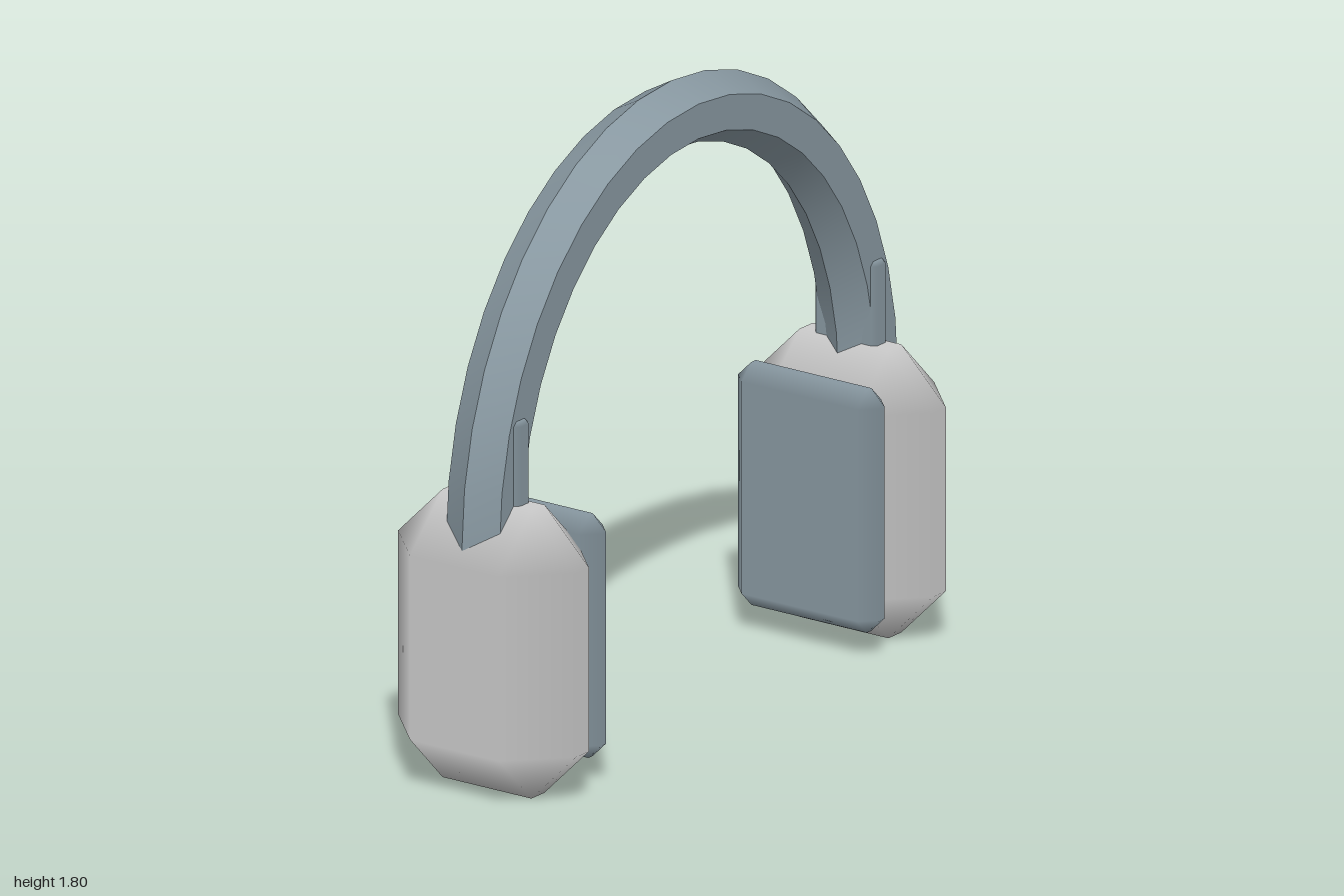
import * as THREE from 'three';
import { toCreasedNormals } from 'three/addons/utils/BufferGeometryUtils.js';
import { ConvexGeometry } from 'three/addons/geometries/ConvexGeometry.js';

const grey = new THREE.MeshStandardMaterial({ color: 0xcccccc });
const slate = new THREE.MeshStandardMaterial({ color: 0x8898a1 });

// Box with one-step bevels; flat faces keep their own normals so the bevels shade softly
function bevelBox(w, h, d, bevel) {
  const half = [w / 2, h / 2, d / 2];
  const points = [];
  for (let axis = 0; axis < 3; axis++)
    for (const sx of [-1, 1]) for (const sy of [-1, 1]) for (const sz of [-1, 1]) {
      const p = [sx, sy, sz].map((s, i) => s * (half[i] - (i === axis ? 0 : bevel)));
      points.push(new THREE.Vector3(...p));
    }
  const geo = new ConvexGeometry(points);
  const pos = geo.attributes.position, normal = geo.attributes.normal;
  for (let i = 0; i < pos.count; i++) {
    const p = [pos.getX(i), pos.getY(i), pos.getZ(i)];
    normal.setXYZ(i, ...p.map((v, k) => (Math.abs(v) > half[k] - 1e-5 ? Math.sign(v) : 0)));
  }
  return geo;
}

// Hexagonal section swept along a half ellipse, with short straight ends inside the cups
function bandGeometry() {
  const a = 0.865, b = 0.98, base = 0.72, steps = 20;
  const section = [[0.1, 0], [0.05, 0.09], [-0.05, 0.09], [-0.1, 0], [-0.05, -0.09], [0.05, -0.09]];
  const rings = [];
  const addRing = (x, y, nx, ny) => rings.push(section.map(([r, z]) => [x + nx * r, y + ny * r, z]));
  addRing(a, 0.66, 1, 0);
  for (let i = 0; i <= steps; i++) {
    const t = (i / steps) * Math.PI, c = Math.cos(t), s = Math.sin(t);
    const n = new THREE.Vector2(c / a, s / b).normalize();
    addRing(a * c, base + b * s, n.x, n.y);
  }
  addRing(-a, 0.66, -1, 0);

  const n = section.length, index = [];
  for (let i = 0; i < rings.length - 1; i++)
    for (let j = 0; j < n; j++) {
      const p = i * n + j, q = i * n + ((j + 1) % n);
      index.push(p, p + n, q, q, p + n, q + n);
    }
  // End caps
  const last = (rings.length - 1) * n;
  for (let j = 1; j < n - 1; j++) index.push(0, j, j + 1, last, last + j + 1, last + j);

  const geo = new THREE.BufferGeometry();
  geo.setAttribute('position', new THREE.Float32BufferAttribute(rings.flat(2), 3));
  geo.setIndex(index);
  return toCreasedNormals(geo, 0.5);
}

export function createModel() {
  const model = new THREE.Group();
  model.name = 'headphones';

  const add = (name, geo, material, x = 0, y = 0) => {
    const mesh = new THREE.Mesh(geo, material);
    mesh.name = name;
    mesh.position.set(x, y, 0);
    model.add(mesh);
  };

  add('headband', bandGeometry(), slate);

  const cup = bevelBox(0.36, 0.83, 0.6, 0.15);
  const cushion = bevelBox(0.11, 0.7, 0.48, 0.045);
  const slider = bevelBox(0.06, 0.37, 0.21, 0.012);
  for (const [side, s] of [['left', 1], ['right', -1]]) {
    add(side + 'EarCup', cup, grey, s * 0.82, 0.415);
    add(side + 'Cushion', cushion, slate, s * 0.64, 0.42);
    add(side + 'Slider', slider, slate, s * 0.82, 0.885);
  }
  return model;
}
